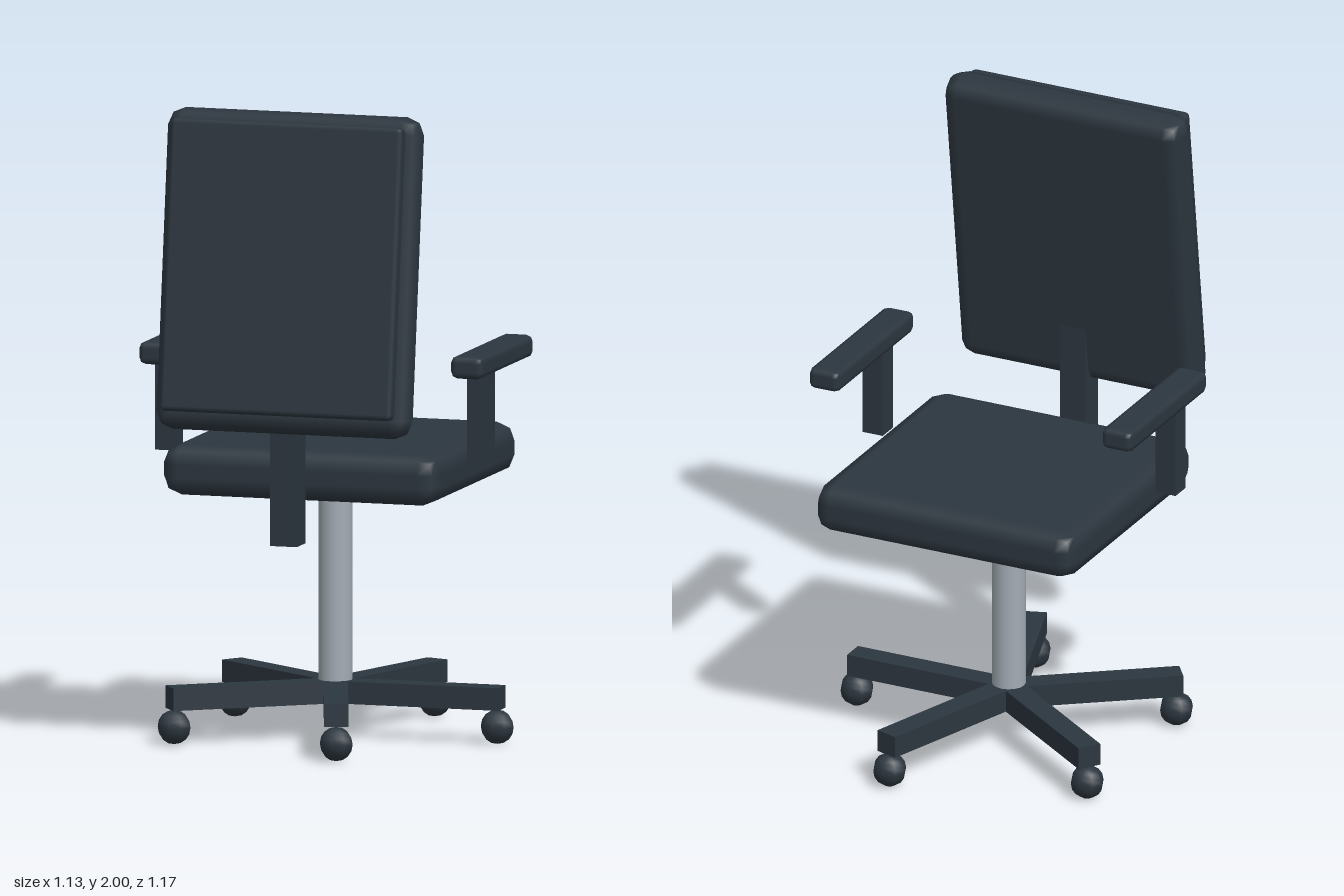
import * as THREE from 'three';
import { RoundedBoxGeometry } from 'three/addons/geometries/RoundedBoxGeometry.js';

export function createModel() {
  const chair = new THREE.Group();
  chair.name = 'officeChair';

  const dark = new THREE.MeshStandardMaterial({ color: 0x2c363f });
  dark.name = 'dark slate';
  const steel = new THREE.MeshStandardMaterial({ color: 0xa3abb4 });
  steel.name = 'steel grey';

  const CX = -0.011; // middle of the chair
  const CZ = -0.036; // middle of the base

  function add(parent, name, geometry, material, x, y, z) {
    const mesh = new THREE.Mesh(geometry, material);
    mesh.name = name;
    mesh.position.set(x, y, z);
    parent.add(mesh);
    return mesh;
  }
  const box = (w, h, d) => new THREE.BoxGeometry(w, h, d);
  // Cushion with a two-step rounded edge
  const pad = (w, h, d, r) => new RoundedBoxGeometry(w, h, d, 1, r);

  // Five-legged base with ball casters
  const LEG = 0.537;
  for (let i = 0; i < 5; i++) {
    const a = (i * Math.PI * 2) / 5;
    const c = Math.cos(a), s = Math.sin(a);
    const leg = add(chair, 'baseLeg', box(LEG, 0.07, 0.075), dark,
      CX + c * LEG / 2, 0.147, CZ + s * LEG / 2);
    leg.rotation.y = -a;
    add(chair, 'caster', new THREE.SphereGeometry(0.053, 8, 8), dark,
      CX + c * 0.522, 0.057, CZ + s * 0.522);
  }

  // Central column
  add(chair, 'column', new THREE.CylinderGeometry(0.052, 0.052, 0.66, 16), steel, CX, 0.48, CZ);

  // Seat cushion
  add(chair, 'seat', pad(0.893, 0.157, 0.86, 0.058), dark, CX, 0.863, -0.075);

  // Armrests
  for (const side of [-1, 1]) {
    const arm = new THREE.Group();
    arm.name = side > 0 ? 'leftArmrest' : 'rightArmrest';
    const x = CX + side * 0.503;
    add(arm, 'armPost', box(0.069, 0.3, 0.069), dark, x, 1.04, 0.069);
    add(arm, 'armPad', pad(0.105, 0.07, 0.535, 0.021), dark, x, 1.205, -0.042);
    chair.add(arm);
  }

  // Upright carrying the backrest
  add(chair, 'backPost', box(0.087, 0.55, 0.087), dark, CX, 0.942, 0.447);

  // Tilted backrest with a raised outer panel
  const back = new THREE.Group();
  back.name = 'backrest';
  back.position.set(CX, 1.508, 0.428);
  back.rotation.x = -0.131;
  add(back, 'backCushion', pad(0.82, 0.99, 0.128, 0.055), dark, 0.003, 0, 0);
  add(back, 'backPanel', pad(0.748, 0.902, 0.06, 0.016), dark, 0, 0.012, 0.07);
  chair.add(back);

  return chair;
}
